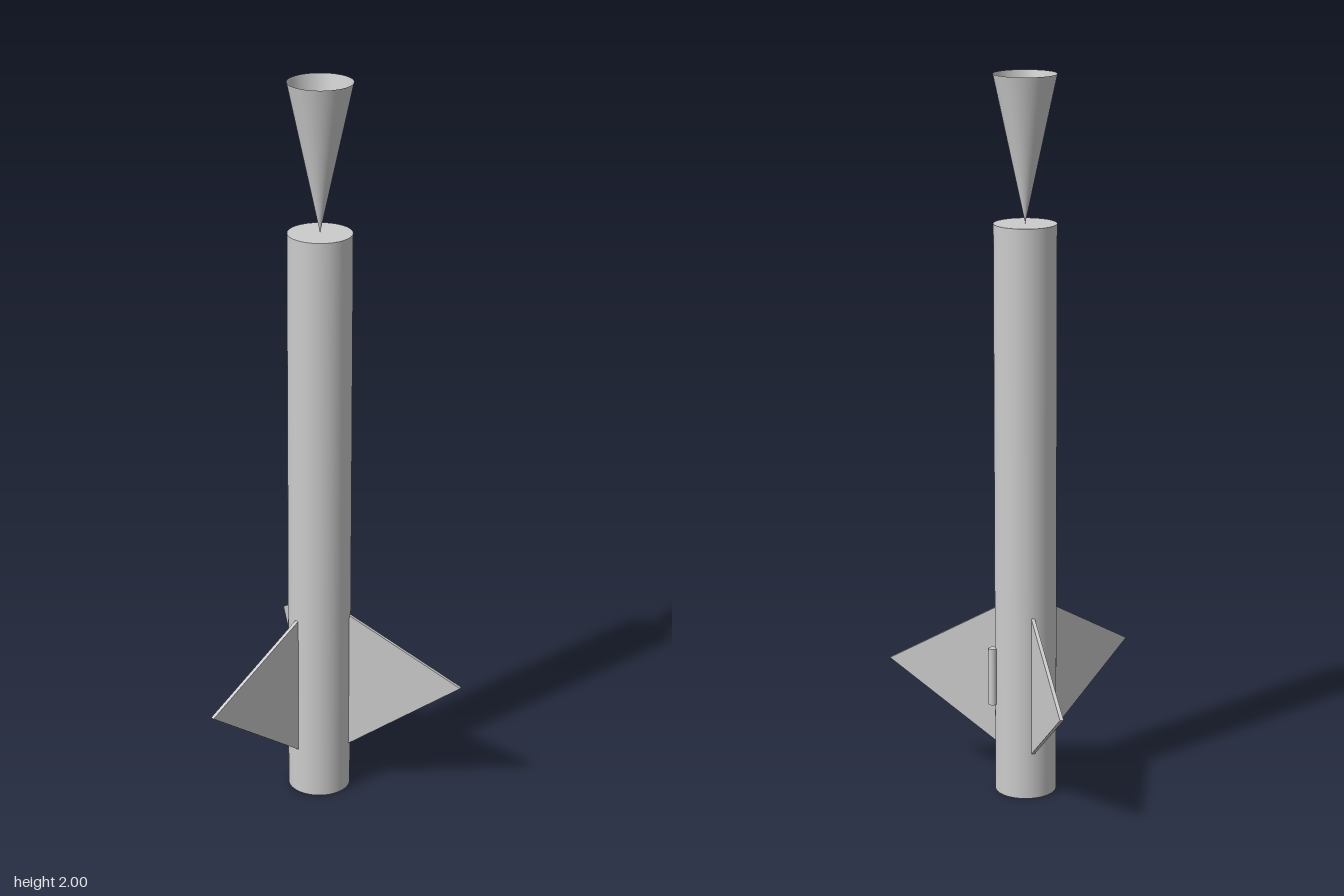
import * as THREE from 'three';

const BODY_R = 0.085, BODY_TOP = 1.604, AXIS_Z = 0.096;

export function createModel() {
  const grey = new THREE.MeshStandardMaterial({ color: 0xcccccc, side: THREE.DoubleSide });
  grey.name = 'plain grey';

  const model = new THREE.Group();
  model.name = 'rocket';
  const rocket = new THREE.Group();
  rocket.name = 'rocketAssembly';
  rocket.position.z = AXIS_Z;
  model.add(rocket);

  const add = (name, geometry, x = 0, y = 0) => {
    const mesh = new THREE.Mesh(geometry, grey);
    mesh.name = name;
    mesh.position.set(x, y, 0);
    rocket.add(mesh);
    return mesh;
  };

  // Closed body tube
  add('bodyTube', new THREE.CylinderGeometry(BODY_R, BODY_R, BODY_TOP, 64), 0, BODY_TOP / 2);

  // Hollow nose cone, point down on the tube and open at the top
  const coneH = 2 - BODY_TOP;
  add('noseCone', new THREE.CylinderGeometry(BODY_R, 0, coneH, 64, 1, true), 0, BODY_TOP + coneH / 2);

  // Launch lug on the left side of the tube
  add('launchLug', new THREE.CylinderGeometry(0.012, 0.012, 0.164, 24), 0.094, 0.339);

  // Three triangular fins, one to the back and two angled forward
  const thickness = 0.01;
  const outline = new THREE.Shape([
    new THREE.Vector2(BODY_R, 0.132),
    new THREE.Vector2(0.396, 0.348),
    new THREE.Vector2(BODY_R, 0.526),
  ]);
  const finGeometry = new THREE.ExtrudeGeometry(outline, { depth: thickness, bevelEnabled: false });
  finGeometry.translate(0, 0, -thickness / 2);
  ['backFin', 'rightFin', 'leftFin'].forEach((name, i) => {
    add(name, finGeometry).rotation.y = Math.PI / 2 + (i * Math.PI * 2) / 3;
  });

  return model;
}
